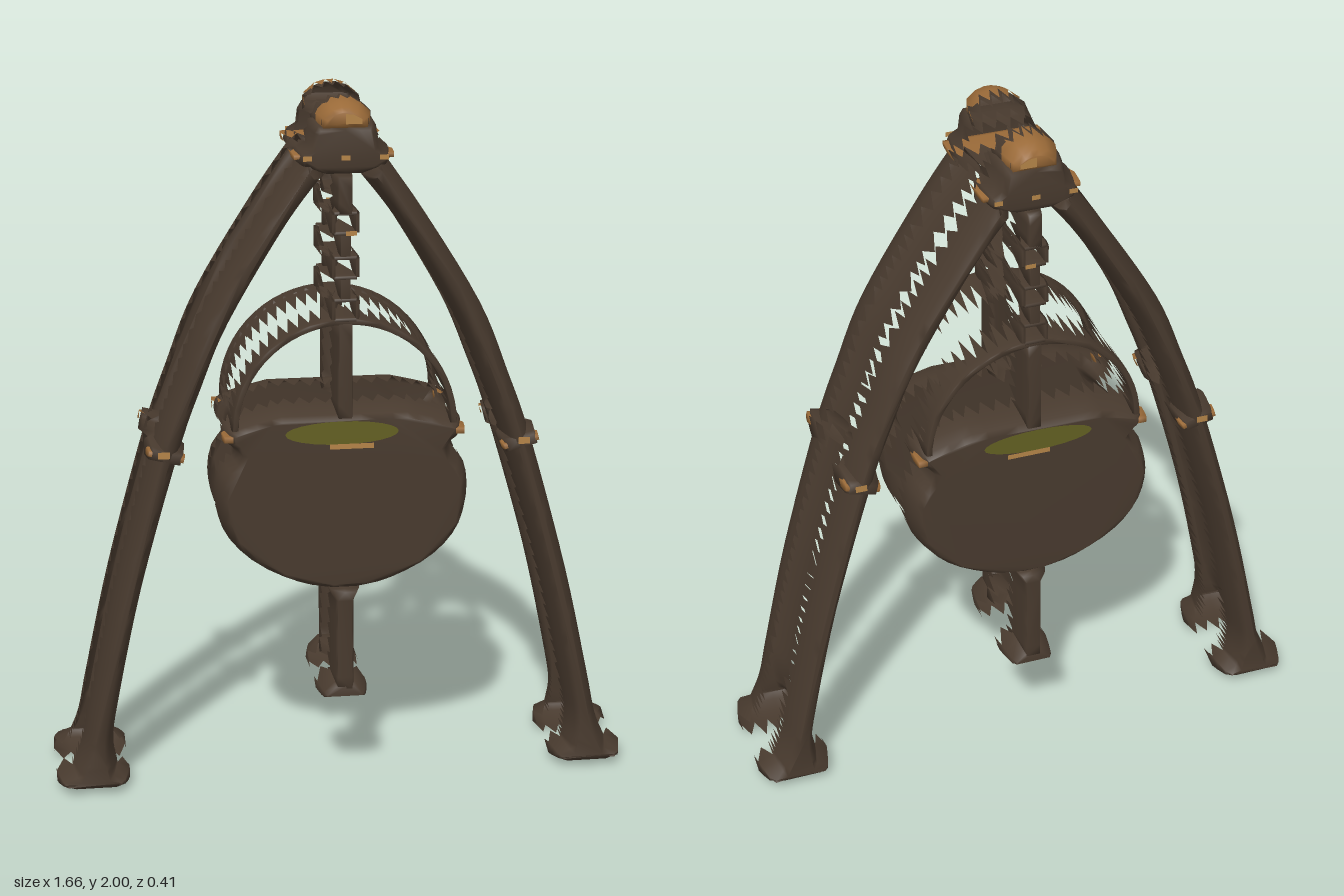
import * as THREE from 'three';

const paint = (name, color) => new THREE.MeshStandardMaterial({ name, color, side: THREE.DoubleSide });
const iron = paint('dark iron', 0x483a2e);
const copper = new THREE.MeshStandardMaterial({ name: 'worn copper', color: 0x9a6a38 });
const paleCopper = paint('pale copper', 0xb48448);
const brew = paint('green brew', 0x636022);

const v2 = (p) => new THREE.Vector2(p[0], p[1]);
const smooth = (pts, n) => new THREE.SplineCurve(pts.map(v2)).getPoints(n);
const mirrorX = (pts) => pts.map((p) => new THREE.Vector2(-p.x, p.y)).reverse();
const rect = (x0, y0, x1, y1) => [[x0, y0], [x1, y0], [x1, y1], [x0, y1]].map(v2);

// Deterministic value in 0..1 for the ragged edges
let seed = 7;
const rnd = () => (seed = (seed * 16807) % 2147483647) / 2147483647;

// Split long edges so that the ragged teeth have an even pitch
function densify(pts, pitch) {
  const out = [];
  pts.forEach((a, i) => {
    const b = pts[(i + 1) % pts.length];
    const n = Math.max(1, Math.round(a.distanceTo(b) / pitch));
    for (let k = 0; k < n; k++) out.push(a.clone().lerp(b, k / n));
  });
  return out;
}

// Outline moved inwards by d
function inset(pts, d) {
  const n = pts.length;
  return pts.map((p, i) => {
    const e = p.clone().sub(pts[(i + n - 1) % n]).normalize();
    const f = pts[(i + 1) % n].clone().sub(p).normalize();
    const m = new THREE.Vector2(-e.y - f.y, e.x + f.x).normalize();
    const c = Math.max(0.6, -m.x * e.y + m.y * e.x);
    return p.clone().addScaledVector(m, d / c);
  });
}

// Open half shell: flat face, rounded edge, wall ending in ragged teeth
function halfShell(pts, s, { bevel = 0.008, front = 0.2, wall = 0.115, tip = 0.048 }) {
  const n = pts.length, pos = [], idx = [];
  const tri = (a, b, c) => (s > 0 ? idx.push(a, b, c) : idx.push(a, c, b));
  const drop = front - wall;
  const rings = [[bevel, front], [bevel * 0.55, front - drop * 0.2], [bevel * 0.2, front - drop * 0.65], [0, wall]];
  rings.forEach(([d, z]) => inset(pts, d).forEach((p) => pos.push(p.x, p.y, s * z)));
  THREE.ShapeUtils.triangulateShape(inset(pts, bevel), []).forEach((t) => tri(...t));
  for (let r = 1; r < rings.length; r++) {
    for (let i = 0; i < n; i++) {
      const j = (i + 1) % n, a = (r - 1) * n, b = r * n;
      tri(a + i, b + i, b + j);
      tri(a + i, b + j, a + j);
    }
  }
  const last = (rings.length - 1) * n;
  for (let i = 0; i < n; i++) {
    const p = pts[i], q = pts[(i + 1) % n];
    pos.push((p.x + q.x) / 2, (p.y + q.y) / 2, s * (tip + 0.018 * rnd()));
    tri(last + i, last + n + i, last + ((i + 1) % n));
  }
  const g = new THREE.BufferGeometry();
  g.setAttribute('position', new THREE.Float32BufferAttribute(pos, 3));
  g.setIndex(idx);
  g.computeVertexNormals();
  return g;
}

// Front and back shells of one part
function slab(parent, name, outline, mat, options = {}) {
  const pts = densify(THREE.ShapeUtils.isClockWise(outline) ? [...outline].reverse() : outline, 0.045);
  const part = new THREE.Group();
  part.name = name;
  for (const s of [1, -1]) {
    const m = new THREE.Mesh(halfShell(pts, s, options), mat);
    m.name = name + (s > 0 ? 'Front' : 'Back');
    part.add(m);
  }
  parent.add(part);
}

// Thin painted plates on front and back
function plate(parent, name, pts, mat, z = 0.2025) {
  for (const s of [1, -1]) {
    const m = new THREE.Mesh(new THREE.ShapeGeometry(new THREE.Shape(pts)), mat);
    m.name = name + (s > 0 ? 'Front' : 'Back');
    m.position.z = s * z;
    parent.add(m);
  }
}

export function createModel() {
  const model = new THREE.Group();
  model.name = 'cauldronStand';

  // Curved legs with flared feet
  const outer = smooth([[0.1, 1.86], [0.22, 1.69], [0.39, 1.41], [0.475, 1.2], [0.545, 1.0],
    [0.655, 0.6], [0.728, 0.27], [0.755, 0.14], [0.785, 0.065]], 40);
  const inner = smooth([[0.655, 0.065], [0.665, 0.14], [0.65, 0.25], [0.575, 0.6],
    [0.462, 1.0], [0.395, 1.19], [0.315, 1.38], [0.155, 1.65], [0.05, 1.79]], 40);
  const leg = [...outer, ...[[0.83, 0.05], [0.83, 0.015], [0.78, 0], [0.66, 0], [0.62, 0.015],
    [0.62, 0.05]].map(v2), ...inner];
  const collar = (l, h) => rect(-l, -h, l, h).map((p) =>
    p.rotateAround(new THREE.Vector2(), 0.25).add(new THREE.Vector2(0.502, 1.015)));
  for (const [side, put] of [['left', (p) => p], ['right', mirrorX]]) {
    slab(model, side + 'Leg', put(leg), iron, { bevel: 0.03 });
    slab(model, side + 'Collar', put(collar(0.052, 0.026)), iron, { bevel: 0.012 });
    slab(model, side + 'CollarBand', put(collar(0.054, 0.011)), copper,
      { bevel: 0.005, front: 0.199, wall: 0.165, tip: 0.13 });
    plate(model, side + 'CollarMark', put(rect(0.492, 1.012, 0.525, 1.032)), paleCopper);
    slab(model, side + 'RimLug', put(rect(0.31, 1.045, 0.342, 1.068)), copper,
      { bevel: 0.004, front: 0.198, wall: 0.15, tip: 0.12 });
  }

  // Hub, cap and finial at the top
  const hub = [[-0.05, 1.79], [0.05, 1.79], [0.12, 1.815], [0.135, 1.84], [0.125, 1.865], [0.1, 1.88],
    [0.095, 1.92], [0.08, 1.945], [-0.08, 1.945], [-0.095, 1.92], [-0.1, 1.88], [-0.125, 1.865],
    [-0.135, 1.84], [-0.12, 1.815]].map(v2);
  slab(model, 'hub', hub, iron, { bevel: 0.022 });
  slab(model, 'hubBand', rect(-0.14, 1.838, 0.14, 1.854), copper, { bevel: 0.003, front: 0.17 });
  slab(model, 'finial', [[-0.08, 1.92], [0.08, 1.92], [0.08, 1.96], [0.045, 1.988], [0.015, 1.998],
    [-0.015, 1.998], [-0.045, 1.988], [-0.08, 1.96]].map(v2), iron, { bevel: 0.03, front: 0.198 });
  slab(model, 'finialCopper', [[-0.075, 1.915], [0.075, 1.915], [0.075, 1.963], [0.042, 1.991],
    [0.012, 2], [-0.012, 2], [-0.042, 1.991], [-0.075, 1.963]].map(v2), copper,
  { bevel: 0.026, front: 0.202, wall: 0.14, tip: 0.08 });
  plate(model, 'finialGlint', [[0, 1.942], [0.045, 1.942], [0.045, 1.955], [0.02, 1.968], [0, 1.97]].map(v2),
    paleCopper, 0.2045);
  for (const x of [-0.105, 0, 0.105]) {
    plate(model, 'rivet', rect(x - 0.012, 1.842, x + 0.012, 1.856), paleCopper);
  }

  // Chain of square links joined by short rods
  const frayed = { bevel: 0.003, wall: 0.175 };
  slab(model, 'hangingRod', rect(-0.025, 1.685, 0.025, 1.8), iron);
  for (const y of [1.665, 1.54, 1.42]) {
    const w = 0.033, h = 0.028;
    for (const s of [-1, 1]) {
      slab(model, 'linkSide', rect(s * w - 0.007, y - h, s * w + 0.007, y + h), iron, frayed);
      slab(model, 'linkBar', rect(-w, y + s * h - 0.007, w, y + s * h + 0.007), iron, frayed);
    }
  }
  for (const [a, b] of [[1.57, 1.635], [1.45, 1.51]]) {
    slab(model, 'chainRod', rect(-0.016, a, 0.016, b), iron, frayed);
  }
  plate(model, 'linkMark', rect(0, 1.632, 0.03, 1.645), paleCopper);

  // Hoop handle and centre post
  const arc = (rx, ry) => Array.from({ length: 31 }, (_, i) => {
    const t = (Math.PI * i) / 30;
    return new THREE.Vector2(rx * Math.cos(t), 1.08 + ry * Math.sin(t));
  });
  slab(model, 'handle', [...arc(0.318, 0.317), ...arc(0.298, 0.297).reverse()], iron, frayed);
  slab(model, 'centrePost', rect(-0.026, 1.1, 0.026, 1.39), iron);

  // Round pot with flared rim
  const half = smooth([[0.035, 0.585], [0.13, 0.605], [0.25, 0.665], [0.33, 0.75], [0.36, 0.85],
    [0.35, 0.94], [0.305, 1.0], [0.335, 1.035], [0.335, 1.08], [0.28, 1.105], [0.18, 1.13]], 28);
  slab(model, 'pot', [...half, ...mirrorX(half)], iron, { bevel: 0.028 });
  const pool = Array.from({ length: 24 }, (_, i) => {
    const t = (i / 24) * Math.PI * 2;
    return new THREE.Vector2(-0.01 + 0.16 * Math.cos(t), 1.067 + 0.034 * Math.sin(t));
  });
  plate(model, 'brewPatch', pool, brew);
  plate(model, 'brewEdge', rect(-0.045, 1.02, 0.08, 1.035), paleCopper, 0.204);

  // Stalk and foot below the pot
  slab(model, 'stalk', [[-0.033, 0.28], [0.033, 0.28], [0.033, 0.56], [0.05, 0.6], [-0.05, 0.6],
    [-0.033, 0.56]].map(v2), iron, { bevel: 0.012 });
  slab(model, 'stalkFoot', [[-0.065, 0.25], [0.065, 0.25], [0.075, 0.265], [0.07, 0.285], [0.035, 0.32],
    [-0.035, 0.32], [-0.07, 0.285], [-0.075, 0.265]].map(v2), iron, { bevel: 0.022 });
  return model;
}
